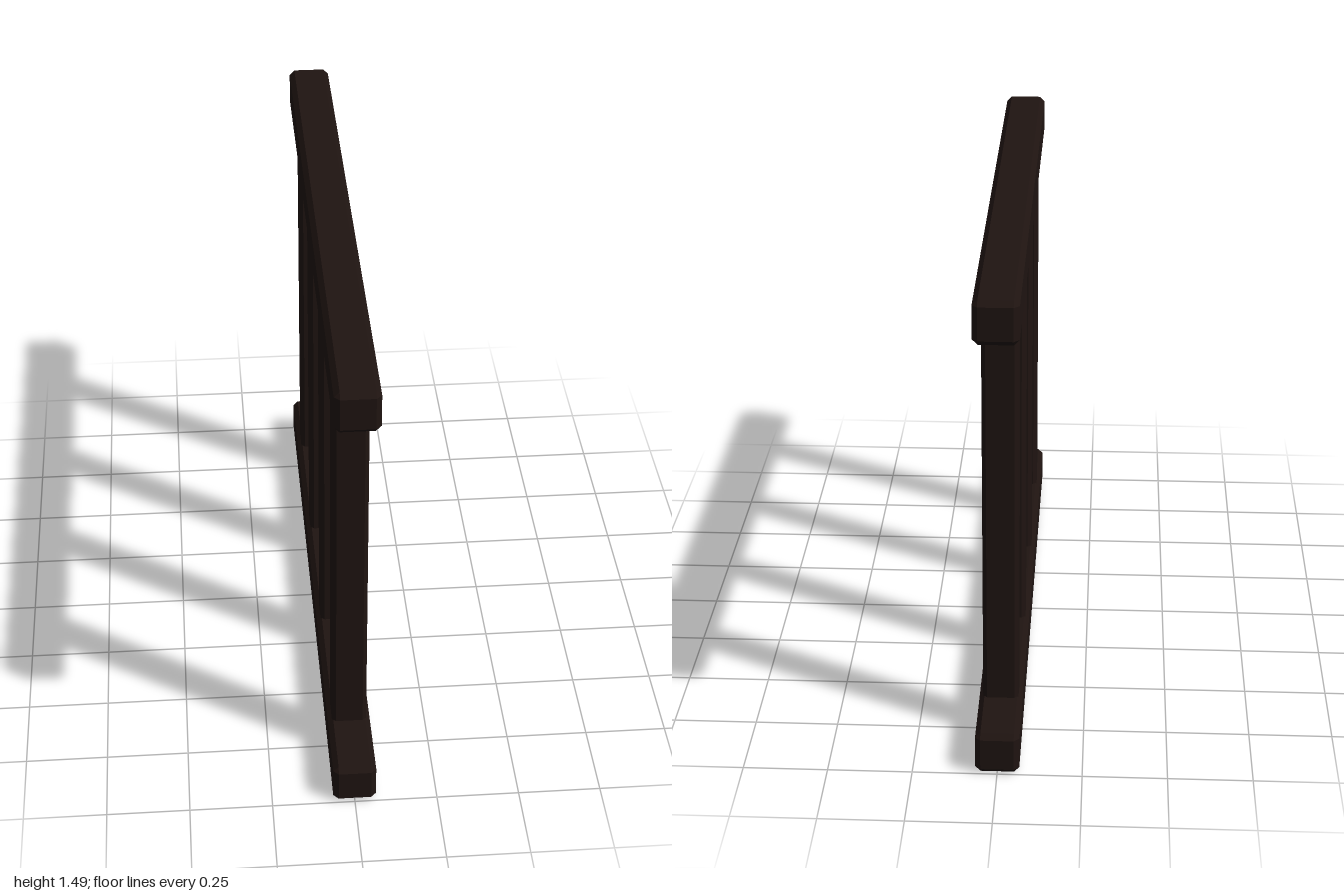
import * as THREE from 'three';
import { ConvexGeometry } from 'three/addons/geometries/ConvexGeometry.js';

// Box with every edge cut by a flat chamfer c
function chamferedBox(w, h, d, c) {
  const points = [];
  for (const sx of [-1, 1]) for (const sy of [-1, 1]) for (const sz of [-1, 1]) {
    const x = w / 2, y = h / 2, z = d / 2;
    points.push(
      new THREE.Vector3(sx * x, sy * (y - c), sz * (z - c)),
      new THREE.Vector3(sx * (x - c), sy * y, sz * (z - c)),
      new THREE.Vector3(sx * (x - c), sy * (y - c), sz * z)
    );
  }
  return new ConvexGeometry(points);
}

export function createModel() {
  const group = new THREE.Group();
  group.name = 'railing';
  const wood = new THREE.MeshStandardMaterial({ color: 0x1f1411, flatShading: true });

  const add = (name, geometry, y, z) => {
    const mesh = new THREE.Mesh(geometry, wood);
    mesh.name = name;
    mesh.position.set(0, y, z);
    group.add(mesh);
  };

  // Horizontal rails
  const height = 1.485, railSize = 0.13;
  const rail = chamferedBox(railSize, railSize, 2, 0.016);
  add('bottomRail', rail, railSize / 2, 0);
  add('topRail', rail, height - railSize / 2, 0);

  // Four upright bars, their ends let into the rails
  const bar = chamferedBox(0.106, height - railSize, 0.096, 0.012);
  for (let i = 0; i < 4; i++) {
    add('bar' + (i + 1), bar, height / 2, 0.733 - i * 0.49);
  }
  return group;
}
